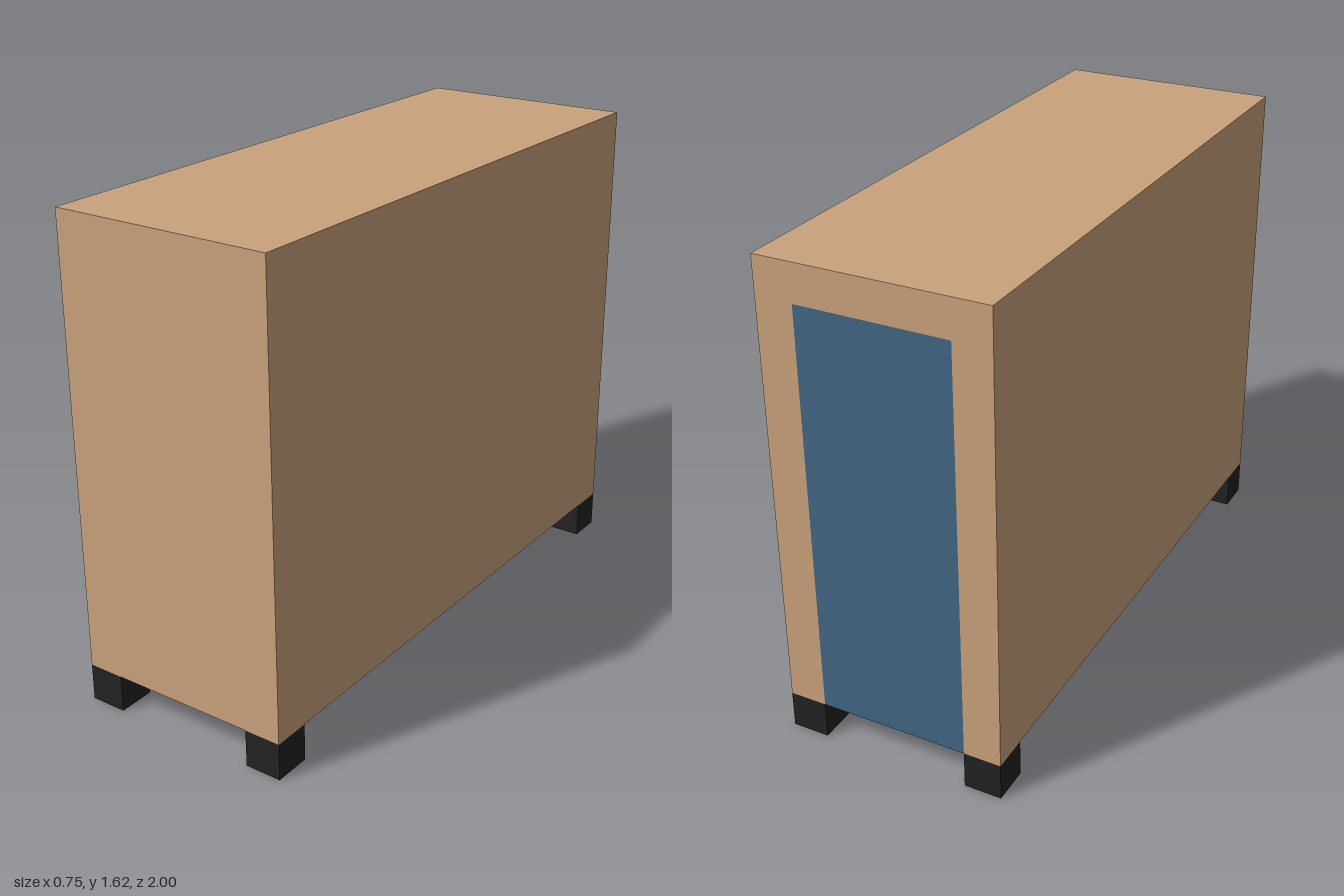
import * as THREE from 'three';

const material = (name, color) => {
  const m = new THREE.MeshStandardMaterial({ color });
  m.name = name;
  return m;
};

export function createModel() {
  const group = new THREE.Group();
  group.name = 'cabinet';
  const wood = material('wood', 0xc9a27c);
  const blue = material('blue', 0x416583);
  const black = material('black', 0x222222);

  const T = 0.125; // board thickness, also the foot size
  const W = 0.75, D = 2, bottom = T, top = 1.625;

  // Box given by its lower and upper corners
  const box = (name, mat, [x0, y0, z0], [x1, y1, z1]) => {
    const mesh = new THREE.Mesh(new THREE.BoxGeometry(x1 - x0, y1 - y0, z1 - z0), mat);
    mesh.position.set((x0 + x1) / 2, (y0 + y1) / 2, (z0 + z1) / 2);
    mesh.name = name;
    group.add(mesh);
  };

  const x = W / 2, z = D / 2, xi = x - T;

  // Wooden casing, open at the back and underneath
  box('topBoard', wood, [-x, top - T, -z], [x, top, z]);
  box('rightBoard', wood, [-x, bottom, -z], [-xi, top - T, z]);
  box('leftBoard', wood, [xi, bottom, -z], [x, top - T, z]);
  box('frontBoard', wood, [-xi, bottom, z - T], [xi, top - T, z]);

  // Blue core filling the casing, flush with the back and the underside
  box('core', blue, [-xi, bottom, -z], [xi, top - T, z - T]);

  // Square feet at the four corners
  for (const sx of [-1, 1]) {
    for (const sz of [-1, 1]) {
      const cx = sx * (x - T / 2), cz = sz * (z - T / 2);
      const name = (sz > 0 ? 'front' : 'back') + (sx > 0 ? 'Left' : 'Right') + 'Foot';
      box(name, black, [cx - T / 2, 0, cz - T / 2], [cx + T / 2, T, cz + T / 2]);
    }
  }
  return group;
}
